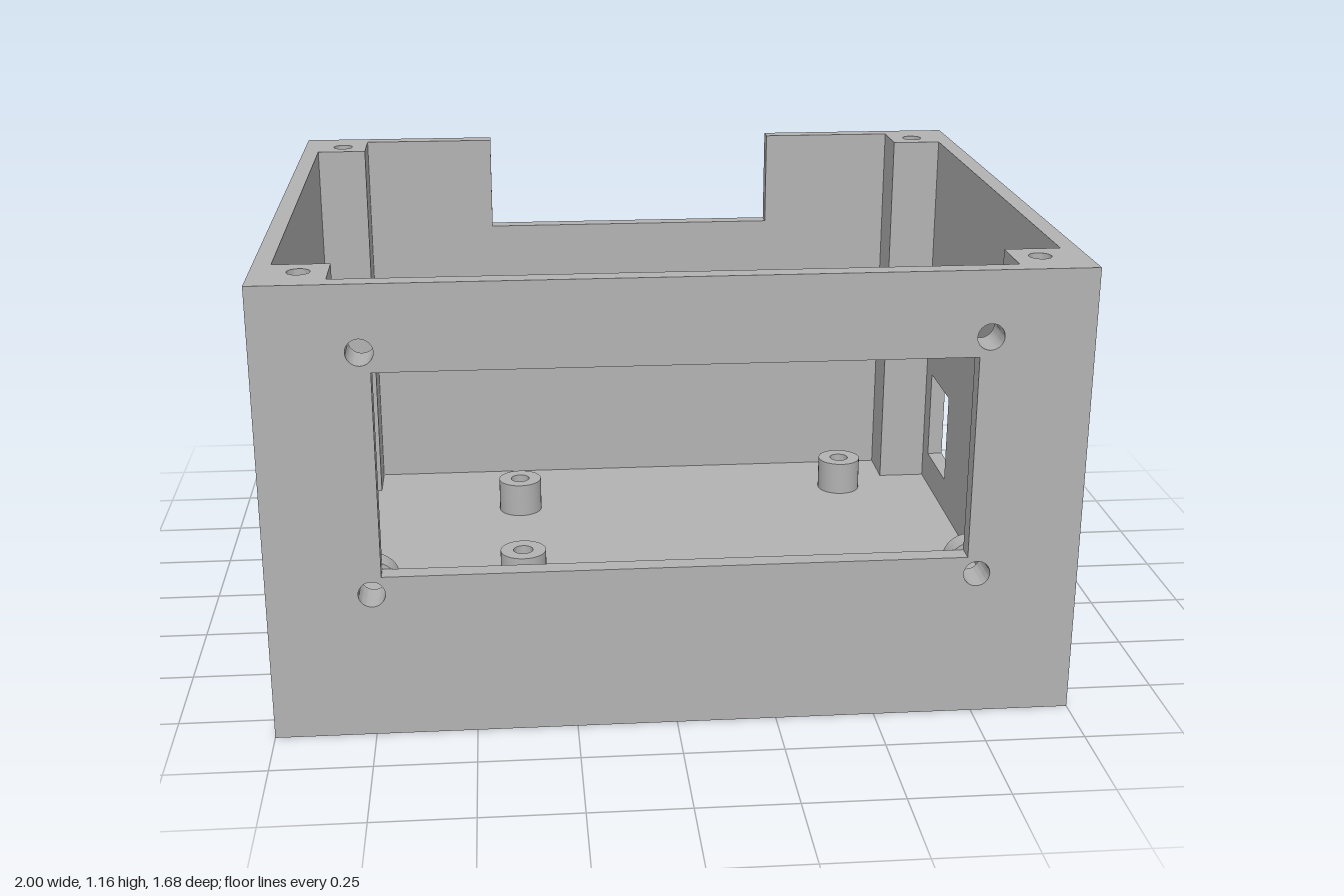
import * as THREE from 'three';
import { toCreasedNormals } from 'three/addons/utils/BufferGeometryUtils.js';

const X = 1, Z = 0.842, H = 1.16;      // outer half width, half depth, height
const IX = 0.955, IZ = 0.795, FLOOR = 0.05; // inner half width, half depth, floor

const points = (pts) => pts.map(([a, b]) => new THREE.Vector2(a, b));
const rect = (a0, b0, a1, b1) => points([[a0, b0], [a1, b0], [a1, b1], [a0, b1]]);
const circle = (a, b, r) => new THREE.Path().absarc(a, b, r, 0, Math.PI * 2, true);

// upright slot with round ends
function slot(a, b0, b1, r) {
  const p = new THREE.Path();
  p.absarc(a, b1 - r, r, 0, Math.PI, false);
  p.absarc(a, b0 + r, r, Math.PI, Math.PI * 2, false);
  p.closePath();
  return p;
}

function plate(outline, holes, depth) {
  const shape = Array.isArray(outline) ? new THREE.Shape(outline) : outline;
  shape.holes = holes.map((h) => (Array.isArray(h) ? new THREE.Path(h) : h));
  const g = new THREE.ExtrudeGeometry(shape, { depth, bevelEnabled: false, curveSegments: 16 });
  return toCreasedNormals(g, 0.6);
}

export function createModel() {
  const group = new THREE.Group();
  group.name = 'enclosure';
  const grey = new THREE.MeshStandardMaterial({ color: 0xb2b2b2 });
  grey.name = 'grey plastic';

  const add = (name, geometry, x = 0, y = 0, z = 0) => {
    const mesh = new THREE.Mesh(geometry, grey);
    mesh.name = name;
    mesh.position.set(x, y, z);
    group.add(mesh);
  };
  const facingSide = (g) => g.rotateY(-Math.PI / 2); // drawn in (z, y), depth toward -x
  const facingUp = (g) => g.rotateX(Math.PI / 2);    // drawn in (x, z), depth downward

  // floor
  add('floor', new THREE.BoxGeometry(IX * 2, FLOOR, IZ * 2), 0, FLOOR / 2, 0);

  // front wall with display opening and screw holes
  const screws = [];
  for (const x of [-0.745, 0.745]) for (const y of [0.38, 0.995]) screws.push([x, y]);
  add('frontWall', plate(rect(-X, 0, X, H),
    [rect(-0.72, 0.425, 0.72, 0.945), ...screws.map(([x, y]) => circle(x, y, 0.033))],
    Z - IZ), 0, 0, IZ);

  // ring bosses behind the front wall
  for (const [x, y] of screws) {
    const ring = new THREE.Shape().absarc(x, y, 0.065, 0, Math.PI * 2, false);
    add('displayBoss', plate(ring, [circle(x, y, 0.033)], 0.055), 0, 0, IZ - 0.055);
  }

  // back wall with a notch open at the top
  add('backWall', plate(points([[-X, 0], [X, 0], [X, H], [0.435, H], [0.435, 0.885],
    [-0.435, 0.885], [-0.435, H], [-X, H]]), [], Z - IZ), 0, 0, -Z);

  // side walls: connector openings on the right of the view from +z, vents opposite
  const side = rect(-IZ, 0, IZ, H);
  add('connectorWall', facingSide(plate(side,
    [rect(-0.005, 0.15, 0.275, 0.41), rect(-0.585, 0.15, -0.355, 0.42)], X - IX)), X);
  const vents = [-0.39, -0.19, 0.01, 0.21, 0.41].map((z) => slot(z, 0.435, 0.845, 0.025));
  add('ventWall', facingSide(plate(side, vents, X - IX)), -IX);

  // corner posts with blind screw holes
  const holeDepth = 0.4, px = 0.815, pz = 0.655;
  for (const sx of [-1, 1]) for (const sz of [-1, 1]) {
    const cx = sx * (px + IX) / 2, cz = sz * (pz + IZ) / 2;
    const w = (IX - px) / 2, d = (IZ - pz) / 2;
    const outline = rect(cx - w, cz - d, cx + w, cz + d);
    add('cornerPostTop', facingUp(plate(outline, [circle(cx, cz, 0.028)], holeDepth)), 0, H, 0);
    add('cornerPost', facingUp(plate(outline, [], H - holeDepth - FLOOR)), 0, H - holeDepth, 0);
  }

  // board standoffs on the floor
  for (const [x, z] of [[-0.37, -0.475], [-0.37, 0.08], [0.66, -0.575], [0.635, 0.385]]) {
    const ring = new THREE.Shape().absarc(0, 0, 0.065, 0, Math.PI * 2, false);
    add('standoff', facingUp(plate(ring, [circle(0, 0, 0.028)], 0.1)), x, 0.15, z);
  }

  return group;
}
